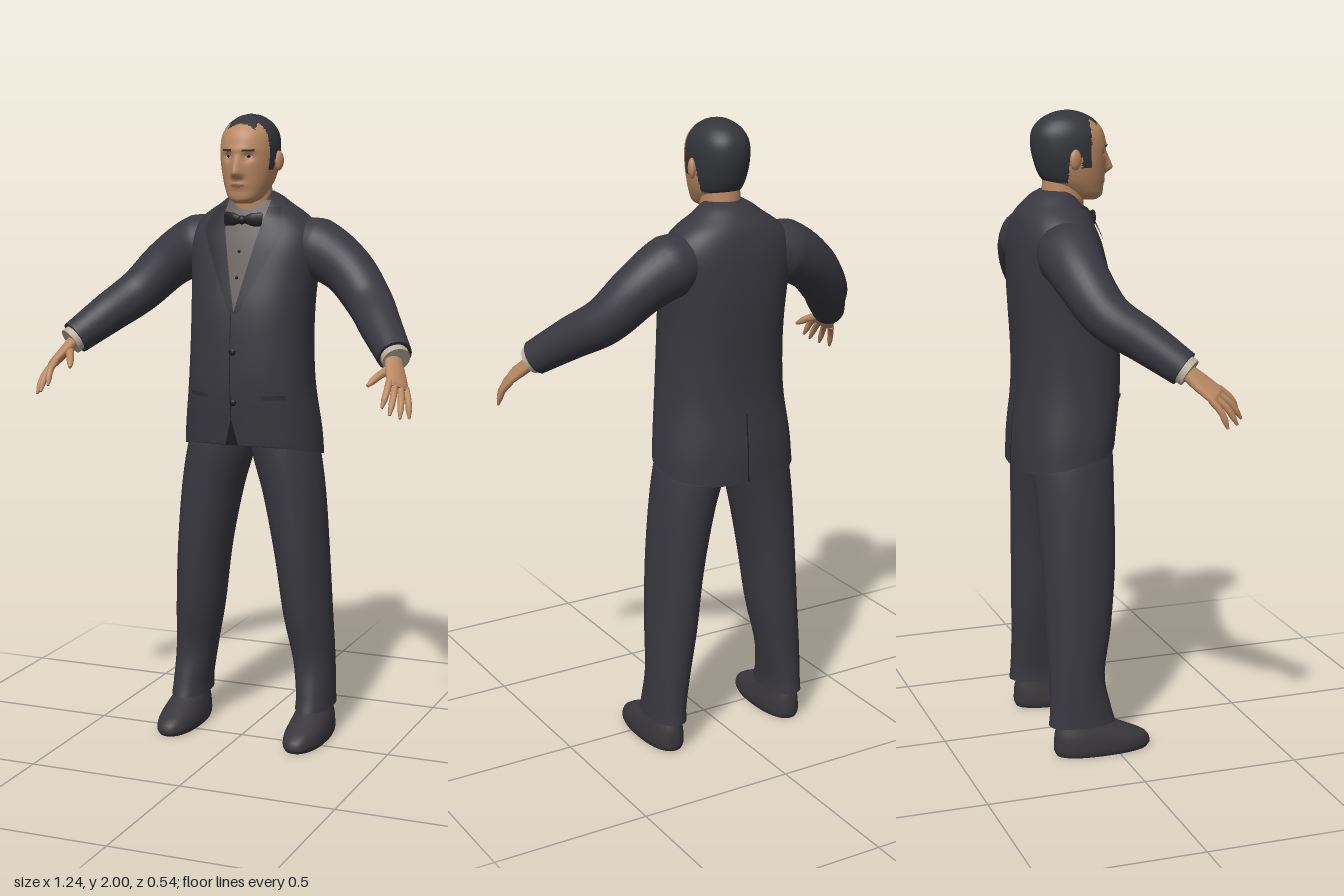
import * as THREE from 'three';

const mat = (name, color) => Object.assign(new THREE.MeshStandardMaterial({ color }), { name });
const V = (a) => new THREE.Vector3(...a);
const gauss = (x, s) => Math.exp(-(x * x) / (s * s));

// Skin closed rings of points (listed in travel order) and cap both ends; paint picks a material index per face
function skin(rings, paint) {
  const n = rings[0].length, pos = [], buckets = [[], []];
  const tri = (...ids) => {
    const c = new THREE.Vector3();
    ids.forEach((i) => c.add(V(pos.slice(i * 3, i * 3 + 3))));
    buckets[paint ? paint(c.divideScalar(3)) : 0].push(...ids);
  };
  rings.forEach((r) => r.forEach((p) => pos.push(p.x, p.y, p.z)));
  for (let i = 0; i < rings.length - 1; i++) for (let j = 0; j < n; j++) {
    const a = i * n + j, b = i * n + (j + 1) % n;
    tri(a, a + n, b); tri(b, a + n, b + n);
  }
  [rings[0], rings[rings.length - 1]].forEach((r, end) => {
    const o = pos.length / 3, c = new THREE.Vector3();
    r.forEach((p) => { pos.push(p.x, p.y, p.z); c.add(p); });
    c.divideScalar(n); pos.push(c.x, c.y, c.z);
    for (let j = 0; j < n; j++) {
      const k = o + (j + 1) % n;
      if (end) tri(o + n, k, o + j); else tri(o + n, o + j, k);
    }
  });
  const g = new THREE.BufferGeometry();
  g.setAttribute('position', new THREE.Float32BufferAttribute(pos, 3));
  g.setIndex(buckets.flat());
  if (paint) { g.addGroup(0, buckets[0].length, 0); g.addGroup(buckets[0].length, buckets[1].length, 1); }
  g.computeVertexNormals();
  return g;
}

// Cross-section at height y; a section is [y, centreX, halfWidth, backZ, frontZ, roundness]
function sectionAt(secs, y) {
  let i = 0;
  while (i < secs.length - 2 && y > secs[i + 1][0]) i++;
  const A = secs[i], B = secs[i + 1], h = B[0] - A[0], t = (y - A[0]) / h;
  const slope = (k, q) => {
    const l = secs[Math.max(0, q - 1)], r = secs[Math.min(secs.length - 1, q + 1)];
    return (r[k] - l[k]) / (r[0] - l[0]) * h;
  };
  return A.map((v, k) => k === 0 ? y : v * (1 + 2 * t) * (1 - t) ** 2 + B[k] * t * t * (3 - 2 * t)
    + slope(k, i) * t * (1 - t) ** 2 + slope(k, i + 1) * t * t * (t - 1));
}

// Upright body built from sections
function loft(secs, { rings = 32, segs = 48, warp, paint } = {}) {
  const y0 = secs[0][0], y1 = secs[secs.length - 1][0], out = [];
  for (let i = 0; i <= rings; i++) {
    const y = y0 + (y1 - y0) * (1 - Math.cos(Math.PI * i / rings)) / 2;
    const [, cx, rx, zb, zf, p] = sectionAt(secs, y), ring = [];
    for (let j = 0; j < segs; j++) {
      const a = j / segs * Math.PI * 2, c = Math.cos(a), s = Math.sin(a);
      const v = V([cx + rx * Math.sign(c) * Math.abs(c) ** (2 / p), y,
        (zf + zb) / 2 + (zf - zb) / 2 * Math.sign(s) * Math.abs(s) ** (2 / p)]);
      if (warp) warp(v, s);
      ring.push(v);
    }
    out.push(ring);
  }
  return skin(out, paint);
}

// Tapered limb along a curve; each radius is a number or [across, thick]
function limb(points, radii, side = [0, 0, 1], steps = 20, segs = 20) {
  const curve = new THREE.CatmullRomCurve3(points.map(V)), out = [];
  for (let i = 0; i <= steps; i++) {
    const t = i / steps, P = curve.getPoint(t), d = curve.getTangent(t);
    const s = V(side).addScaledVector(d, -V(side).dot(d)).normalize(), u = s.clone().cross(d);
    const f = t * (radii.length - 1), k = Math.min(Math.floor(f), radii.length - 2);
    const [a, b] = [0, 1].map((q) => {
      const r = (m) => Array.isArray(radii[m]) ? radii[m][q] : radii[m];
      return r(k) + (r(k + 1) - r(k)) * (f - k);
    });
    out.push(Array.from({ length: segs }, (_, j) => {
      const w = j / segs * Math.PI * 2;
      return P.clone().addScaledVector(s, a * Math.cos(w)).addScaledVector(u, b * Math.sin(w));
    }));
  }
  return skin(out);
}

// Thin panel following a lofted body, between left(y) and right(y)
function panel(secs, y0, y1, left, right, off, { back = 1, relief, rows = 20, cols = 8 } = {}) {
  const g = new THREE.PlaneGeometry(1, 1, cols, rows), p = g.attributes.position;
  for (let i = 0; i < p.count; i++) {
    const y = y0 + (y1 - y0) * (p.getY(i) + 0.5), u = p.getX(i) * back + 0.5;
    const x = left(y) + (right(y) - left(y)) * u;
    const [, cx, rx, zb, zf, e] = sectionAt(secs, y);
    const t = Math.min(0.99, Math.abs(x - cx) / rx);
    const z = (zf + zb) / 2 + back * ((zf - zb) / 2 * (1 - t ** e) ** (1 / e) + off);
    p.setXYZ(i, x, y, z + (relief ? relief(x, y) : 0));
  }
  g.computeVertexNormals();
  return g;
}

const JACKET = [
  [0.9, 0, 0.228, -0.268, 0.04, 2.4], [1.0, 0, 0.222, -0.265, 0.052, 2.4], [1.15, 0, 0.203, -0.252, 0.07, 2.4],
  [1.28, 0, 0.196, -0.253, 0.07, 2.4], [1.4, 0, 0.196, -0.26, 0.06, 2.4], [1.5, 0, 0.203, -0.263, 0.036, 2.4],
  [1.6, 0, 0.212, -0.258, 0.008, 2.4], [1.65, 0, 0.198, -0.25, -0.01, 2.3], [1.69, 0, 0.162, -0.238, -0.026, 2.2],
  [1.72, 0, 0.118, -0.218, -0.045, 2], [1.745, 0, 0.085, -0.195, -0.06, 2], [1.76, 0, 0.06, -0.17, -0.07, 2]];
const HEAD = [
  [1.727, 0, 0.026, -0.05, 0.014, 2], [1.74, 0, 0.048, -0.09, 0.029, 2.1], [1.77, 0, 0.066, -0.135, 0.033, 2.1],
  [1.8, 0, 0.077, -0.166, 0.036, 2.1], [1.85, 0, 0.087, -0.186, 0.039, 2.1], [1.9, 0, 0.089, -0.195, 0.04, 2.1],
  [1.94, 0, 0.083, -0.19, 0.029, 2.1], [1.97, 0, 0.066, -0.168, 0.004, 2], [1.988, 0, 0.043, -0.138, -0.027, 2],
  [1.996, 0, 0.026, -0.113, -0.05, 2], [2, 0, 0.004, -0.086, -0.076, 2]];
const LEG = [
  [0.1, 0.218, 0.058, -0.216, 0, 2.2], [0.14, 0.217, 0.057, -0.212, -0.012, 2.2], [0.25, 0.207, 0.065, -0.21, -0.032, 2.1],
  [0.4, 0.189, 0.077, -0.215, -0.006, 2], [0.6, 0.17, 0.085, -0.22, 0.014, 2], [0.8, 0.142, 0.098, -0.227, 0.02, 2],
  [0.93, 0.114, 0.107, -0.235, 0.025, 2], [1, 0.1, 0.1, -0.235, 0.025, 2]];
const SHOE = [
  [0, 0.22, 0.058, -0.193, 0.108, 2.3], [0.015, 0.22, 0.064, -0.2, 0.117, 2.3], [0.045, 0.22, 0.063, -0.2, 0.103, 2.3],
  [0.07, 0.22, 0.058, -0.198, 0.055, 2.2], [0.1, 0.218, 0.05, -0.19, -0.005, 2], [0.13, 0.217, 0.045, -0.18, -0.04, 2]];

// Nose, eye sockets, brow and lips as offsets of the face
function faceRelief(x, y) {
  const h = y > 1.82 ? Math.max(0, (1.885 - y) / 0.065) : Math.max(0, (y - 1.8) / 0.02);
  const wide = 0.01 + 0.007 * Math.min(1, Math.max(0, (1.88 - y) / 0.06)), ax = Math.abs(x);
  return 0.032 * h * gauss(x, wide) - 0.011 * gauss(ax - 0.034, 0.016) * gauss(y - 1.871, 0.012)
    + 0.004 * gauss(y - 1.893, 0.009) * gauss(x, 0.05) + 0.005 * gauss(y - 1.784, 0.012) * gauss(x, 0.025);
}
function isHair({ x, y, z }) {
  const low = z > -0.06 ? 1.83 : z > -0.1 ? 1.865 : 1.785;
  return y > low && z < (Math.abs(x) < 0.045 && y > 1.95 ? 0.003 : -0.028) ? 1 : 0;
}

export function createModel() {
  const root = new THREE.Group();
  const suit = mat('suit cloth', 0x39383f), satin = mat('satin', 0x2f2e34), black = mat('black', 0x1d1d22);
  const hair = mat('hair', 0x33353a), flesh = mat('skin', 0xbb8963), shirt = mat('shirt front', 0x645c5b);
  const white = mat('collar cloth', 0xb9af9d), lip = mat('lips', 0x8f6049), leather = mat('shoe leather', 0x39373b);
  const add = (name, geo, m) => {
    const mesh = new THREE.Mesh(geo, m);
    mesh.name = name; root.add(mesh);
    return mesh;
  };
  const ball = (name, m, at, size) => {
    const b = add(name, new THREE.SphereGeometry(1, 20, 14), m);
    b.position.set(...at); b.scale.set(...size);
    return b;
  };

  // Head and neck
  add('head', loft(HEAD, { rings: 64, segs: 96, paint: isHair,
    warp: (v, s) => { if (s > 0) v.z += faceRelief(v.x, v.y); } }), [flesh, hair]);
  add('neck', loft([[1.66, 0, 0.064, -0.165, -0.035, 2], [1.76, 0, 0.06, -0.16, -0.03, 2], [1.83, 0, 0.058, -0.155, -0.04, 2]]), flesh);
  const oval = (cy, ry, rx) => (y) => rx * Math.sqrt(Math.max(0, 1 - ((y - cy) / ry) ** 2));
  const mouth = oval(1.784, 0.006, 0.024);
  add('mouth', panel(HEAD, 1.778, 1.79, (y) => -mouth(y), mouth, 0.0015, { relief: faceRelief, rows: 8 }), lip);

  // Jacket body, with a hem that drops toward the back
  add('jacket', loft(JACKET, { rings: 48, segs: 72, warp: (v) => {
    v.y = Math.max(v.y, 0.9 + 0.07 * Math.min(1, Math.max(0, (v.z + 0.27) / 0.31)));
  } }), suit);
  const vee = (y) => Math.min(0.07, 0.07 * (y - 1.39) / 0.31);
  const lapelEdge = (y) => y < 1.645 ? 0.135 * (y - 1.36) / 0.285 : 0.135 - 0.03 * (y - 1.645) / 0.07;
  add('shirtFront', panel(JACKET, 1.39, 1.735, (y) => -vee(y), vee, 0.004), shirt);
  const gap = (y) => 0.022 * (1.06 - y) / 0.09;
  add('frontOpening', panel(JACKET, 0.972, 1.06, (y) => -0.012 - gap(y), (y) => -0.012 + gap(y), 0.003), black);
  add('frontEdge', panel(JACKET, 1.06, 1.39, () => -0.012, () => -0.0095, 0.002), black);
  add('backVent', panel(JACKET, 0.905, 1.12, () => -0.002, () => 0.002, 0.002, { back: -1 }), black);
  for (const [y, z] of [[1.27, 0.072], [1.11, 0.068]]) ball('jacketButton', black, [-0.003, y, z], [0.011, 0.011, 0.006]);
  for (const [y, z] of [[1.58, 0.021], [1.5, 0.041]]) ball('shirtStud', black, [0, y, z], [0.005, 0.005, 0.004]);

  // Collar, higher at the nape than at the throat
  add('shirtCollar', loft([[1.7, 0, 0.08, -0.182, -0.022, 2], [1.73, 0, 0.076, -0.178, -0.026, 2], [1.757, 0, 0.07, -0.172, -0.028, 2]],
    { rings: 8, warp: (v) => { v.y -= (v.z + 0.17) * 0.42; } }), white);
  ball('bowKnot', black, [0, 1.676, -0.003], [0.014, 0.014, 0.012]);

  // Mirrored parts
  for (const s of [1, -1]) {
    const m = (pts) => pts.map(([x, y, z]) => [x * s, y, z]);
    const strip = (name, secs, y0, y1, inner, outer, off, mt, opt) => add(name, panel(secs, y0, y1,
      (y) => s > 0 ? inner(y) : -outer(y), (y) => s > 0 ? outer(y) : -inner(y), off, opt), mt);

    strip('lapel', JACKET, 1.39, 1.715, vee, lapelEdge, 0.008, satin);
    strip('pocketWelt', JACKET, 1.122, 1.136, () => 0.09, () => 0.16, 0.004, satin, { rows: 2 });
    add('bowWing', limb(m([[0, 1.676, -0.006], [0.03, 1.677, -0.008], [0.062, 1.677, -0.016]]),
      [[0.008, 0.006], [0.02, 0.008], [0.023, 0.007]], [0, 1, 0]), black);

    // Face details
    const eye = oval(1.872, 0.0055, 0.012), iris = oval(1.872, 0.005, 0.005), opt = { relief: faceRelief, rows: 8 };
    strip('eye', HEAD, 1.8665, 1.8775, (y) => 0.034 - eye(y), (y) => 0.034 + eye(y), 0.0015, white, opt);
    strip('iris', HEAD, 1.867, 1.877, (y) => 0.034 - iris(y), (y) => 0.034 + iris(y), 0.0025, black, opt);
    strip('eyebrow', HEAD, 1.888, 1.895, () => 0.017, () => 0.052, 0.002, hair, opt);
    ball('ear', flesh, [0.091 * s, 1.857, -0.083], [0.012, 0.031, 0.02]).rotation.y = -0.35 * s;

    // Sleeve, cuff and hand
    add('sleeve', limb(m([[0.12, 1.595, -0.14], [0.2, 1.583, -0.14], [0.3, 1.525, -0.13], [0.39, 1.432, -0.085],
      [0.46, 1.365, 0.005], [0.535, 1.292, 0.098]]), [0.08, 0.097, 0.083, 0.073, 0.065, 0.054], [0, 0, 1], 40, 32), suit);
    add('shirtCuff', limb(m([[0.515, 1.311, 0.075], [0.545, 1.281, 0.112]]), [0.044, 0.044], [0, 0, 1], 4), white);
    const across = [0.64 * s, -0.43, -0.64];
    add('palm', limb(m([[0.53, 1.29, 0.1], [0.553, 1.25, 0.145], [0.574, 1.216, 0.184], [0.578, 1.209, 0.192]]),
      [[0.027, 0.022], [0.037, 0.018], [0.039, 0.014], [0.032, 0.008]], across), flesh);
    [[0.55, 1.16, 0.262], [0.575, 1.14, 0.264], [0.6, 1.128, 0.242], [0.617, 1.123, 0.205]].forEach((tip, i) => {
      const k = -0.03 + 0.02 * i, base = [0.572 + 0.64 * k, 1.219 - 0.43 * k, 0.181 - 0.64 * k];
      const mid = base.map((v, q) => (v + tip[q]) / 2 + [0.004, 0.006, 0.004][q]);
      add('finger', limb(m([base, mid, tip]), [0.011, 0.0105, 0.01, 0.0095, 0.004], across, 12, 12), flesh);
    });
    add('thumb', limb(m([[0.542, 1.262, 0.132], [0.512, 1.241, 0.18], [0.492, 1.216, 0.222]]),
      [0.018, 0.014, 0.012, 0.011, 0.005], across, 12, 12), flesh);

    // Trouser leg and shoe
    const flip = (secs) => secs.map(([y, cx, ...r]) => [y, cx * s, ...r]);
    add('trouserLeg', loft(flip(LEG), { rings: 36 }), suit);
    add('shoe', loft(flip(SHOE), { rings: 20 }), leather);
  }
  return root;
}
